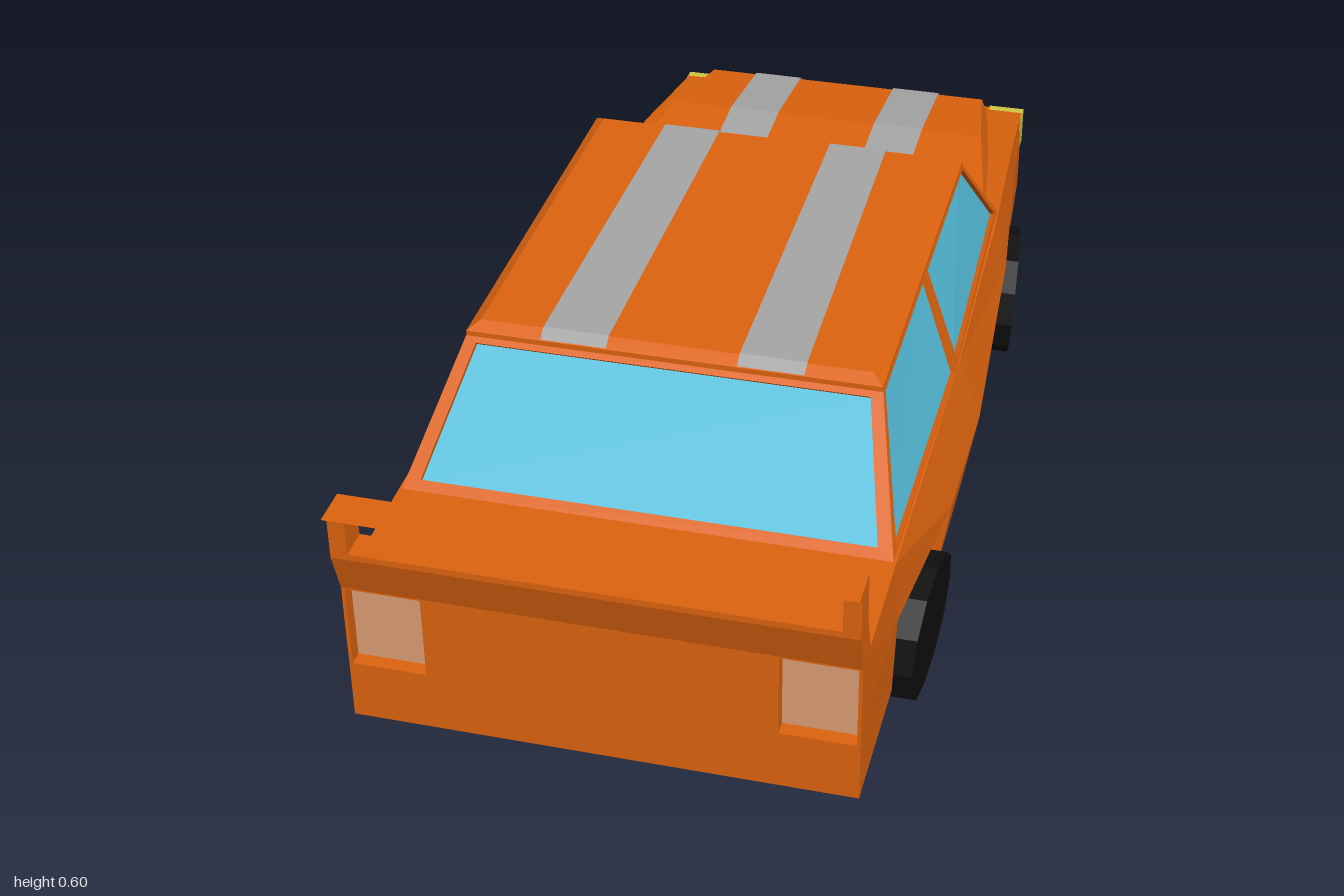
import * as THREE from 'three';

const mat = (name, color) => {
  const m = new THREE.MeshStandardMaterial({ color, flatShading: true, side: THREE.DoubleSide });
  m.name = name;
  return m;
};

// Geometry from a list of quads/fans (corners counter-clockwise from outside)
function polys(list) {
  const pos = [];
  for (const p of list)
    for (let i = 1; i < p.length - 1; i++) pos.push(...p[0], ...p[i], ...p[i + 1]);
  const g = new THREE.BufferGeometry();
  g.setAttribute('position', new THREE.Float32BufferAttribute(pos, 3));
  g.computeVertexNormals();
  return g;
}

// Skin closed rings and cap both ends
function loft(rings) {
  const faces = [[...rings[0]].reverse(), rings[rings.length - 1]];
  for (let r = 0; r < rings.length - 1; r++) {
    const a = rings[r], b = rings[r + 1], n = a.length;
    for (let i = 0; i < n; i++) faces.push([a[i], a[(i + 1) % n], b[(i + 1) % n], b[i]]);
  }
  return polys(faces);
}

// Symmetric ring at one z from its +x half, bottom to top
const ring = (z, half) => [
  ...half.map(([x, y]) => [x, y, z]),
  ...[...half].reverse().map(([x, y]) => [-x, y, z]),
];
// Prism of a (z, y) profile between two x positions
const prism = (profile, x0, x1) => loft([x0, x1].map((x) => profile.map(([z, y]) => [x, y, z])));

// Framed window: returns frame faces and the recessed glass face
function windowPanel([bl, br, tr, tl], [u0, u1, v0, v1], depth = 0.008) {
  const V = (p) => new THREE.Vector3(...p);
  const at = (u, v) => V(bl).lerp(V(br), u).lerp(V(tl).lerp(V(tr), u), v);
  const inner = [at(u0, v0), at(u1, v0), at(u1, v1), at(u0, v1)];
  const n = V(br).sub(V(bl)).cross(V(tl).sub(V(bl))).normalize();
  const glass = inner.map((p) => p.clone().addScaledVector(n, -depth).toArray());
  const edge = inner.map((p) => p.toArray());
  const outer = [bl, br, tr, tl], frame = [];
  for (let i = 0; i < 4; i++) {
    const j = (i + 1) % 4;
    frame.push([outer[i], outer[j], edge[j], edge[i]], [edge[i], edge[j], glass[j], glass[i]]);
  }
  return { frame, glass };
}

export function createModel() {
  const car = new THREE.Group();
  car.name = 'car';
  const paint = mat('orange paint', 0xdd630f);
  const grey = mat('stripe grey', 0xa6a6a6);
  const glassMat = mat('window blue', 0x55bedb);
  const black = mat('tyre black', 0x0f0f0f);
  const yellow = mat('headlight yellow', 0xcfc640);
  const tan = mat('tail light tan', 0xdc9e76);
  const add = (name, geo, m) => {
    const mesh = new THREE.Mesh(geo, m);
    mesh.name = name;
    car.add(mesh);
    return mesh;
  };

  // Lower body: z, bottom, recess, belt and shoulder half widths, shoulder height
  const sections = [
    [-1, 0.365, 0.365, 0.365, 0.365, 0.305],
    [-0.72, 0.385, 0.39, 0.39, 0.38, 0.345],
    [-0.72, 0.36, 0.36, 0.39, 0.38, 0.345],
    [-0.42, 0.37, 0.37, 0.422, 0.40, 0.377],
    [-0.42, 0.40, 0.422, 0.422, 0.40, 0.377],
    [0.1, 0.43, 0.455, 0.455, 0.415, 0.388],
    [0.37, 0.43, 0.452, 0.452, 0.415, 0.388],
    [0.37, 0.39, 0.39, 0.452, 0.415, 0.388],
    [0.695, 0.39, 0.39, 0.42, 0.414, 0.387],
    [0.695, 0.415, 0.42, 0.42, 0.414, 0.387],
    [0.925, 0.414, 0.414, 0.414, 0.414, 0.386],
  ];
  add('body', loft(sections.map(([z, b, r, m, s, y]) =>
    ring(z, [[b, 0.125], [r, 0.27], [m, 0.272], [s, y]]))), paint);

  // Raised bonnet
  add('bonnet', loft([
    [-1, 0.29, 0.28, 0.29, 0.312],
    [-0.91, 0.31, 0.29, 0.30, 0.368],
    [-0.7, 0.345, 0.32, 0.33, 0.395],
    [-0.44, 0.385, 0.37, 0.36, 0.378],
  ].map(([z, w, t, y0, y1]) => ring(z, [[w, y0], [t, y1]]))), paint);

  // Rear panel with tail light openings
  const rear = new THREE.Shape([[-0.414, 0.125], [0.414, 0.125], [0.414, 0.386], [-0.414, 0.386]]
    .map((p) => new THREE.Vector2(...p)));
  for (const s of [-1, 1])
    rear.holes.push(new THREE.Path([[0.285, 0.232], [0.408, 0.232], [0.408, 0.382], [0.285, 0.382]]
      .map(([x, y]) => new THREE.Vector2(s * x, y))));
  add('rearPanel', new THREE.ExtrudeGeometry(rear, { depth: 0.03, bevelEnabled: false }), paint)
    .position.z = 0.925;

  // Tail lights, headlights
  for (const s of [-1, 1]) {
    add('tailLight', new THREE.BoxGeometry(0.123, 0.15, 0.005), tan).position.set(s * 0.3465, 0.307, 0.928);
    add('tailLightHood', prism([[0.955, 0.383], [0.926, 0.358], [0.926, 0.383]],
      s * 0.3465 - 0.0615, s * 0.3465 + 0.0615), paint);
    add('headlight', new THREE.BoxGeometry(0.072, 0.075, 0.08), yellow).position.set(s * 0.332, 0.27, -0.961);
  }

  // Cabin: corners listed from outside, bottom left first
  const sides = [
    [[[0.41, 0.385, 0.695], [0.415, 0.385, 0.13], [0.35, 0.58, 0.13], [0.35, 0.58, 0.505]], [0.045, 0.972, 0.03, 0.965]],
    [[[0.415, 0.385, 0.13], [0.395, 0.375, -0.445], [0.35, 0.58, -0.25], [0.35, 0.58, 0.13]], [0.03, 0.97, 0.06, 0.965]],
  ];
  const panels = [
    ['rearWindow', [[-0.41, 0.385, 0.695], [0.41, 0.385, 0.695], [0.35, 0.58, 0.505], [-0.35, 0.58, 0.505]], [0.03, 0.97, 0.08, 0.95]],
    ['windscreen', [[0.395, 0.375, -0.445], [-0.395, 0.375, -0.445], [-0.35, 0.58, -0.25], [0.35, 0.58, -0.25]], [0.03, 0.97, 0.08, 0.95]],
  ];
  for (const [c, m] of sides) {
    const f = c.map(([x, y, z]) => [-x, y, z]);
    panels.push(['sideWindow', c, m],
      ['sideWindow', [f[1], f[0], f[3], f[2]], [1 - m[1], 1 - m[0], m[2], m[3]]]);
  }
  const frames = [];
  for (const [name, corners, margins] of panels) {
    const { frame, glass } = windowPanel(corners, margins);
    frames.push(...frame);
    add(name, polys([glass]), glassMat);
  }
  add('cabinFrame', polys(frames), paint);

  // Roof slab with chamfered rim
  add('roof', loft([[0.576, 0.35, -0.252, 0.507], [0.587, 0.35, -0.252, 0.507], [0.6, 0.33, -0.23, 0.487]]
    .map(([y, x, z0, z1]) => [[x, y, z1], [x, y, z0], [-x, y, z0], [-x, y, z1]])), paint);

  // Racing stripes: z, y, inner x, outer x
  const ribbon = (pts, s) => polys(pts.slice(1).map(([z, y, a, b], i) => {
    const [z0, y0, a0, b0] = pts[i];
    const q = [[s * a0, y0, z0], [s * a, y, z], [s * b, y, z], [s * b0, y0, z0]];
    return s > 0 ? q : q.reverse();
  }));
  for (const s of [-1, 1]) {
    add('bonnetStripe', ribbon([[-1.002, 0.126, 0.1, 0.195], [-1.002, 0.314, 0.1, 0.195],
      [-0.911, 0.371, 0.1, 0.197], [-0.7, 0.398, 0.1, 0.2], [-0.46, 0.3825, 0.1, 0.2]], s), grey);
    add('roofStripe', ribbon([[-0.252, 0.59, 0.105, 0.21], [-0.231, 0.6025, 0.105, 0.21],
      [0.488, 0.6025, 0.11, 0.222], [0.508, 0.59, 0.11, 0.222]], s), grey);
  }

  // Rear spoiler: base, posts and wing
  add('spoilerBase', prism([[0.955, 0.385], [0.9, 0.385], [0.925, 0.455], [0.927, 0.473], [0.98, 0.473], [0.98, 0.462]], -0.414, 0.414), paint);
  for (const s of [-1, 1])
    add('spoilerPost', prism([[0.98, 0.47], [0.927, 0.47], [0.93, 0.538], [0.98, 0.538]],
      s * 0.4 - 0.014, s * 0.4 + 0.014), paint);
  add('spoilerWing', prism([[0.98, 0.536], [0.93, 0.536], [0.932, 0.549], [1, 0.549]], -0.414, 0.414), paint);

  // Wheels, slightly toed and cambered
  for (const [name, z, x, toe] of [['frontWheel', -0.57, 0.36, 0.12], ['rearWheel', 0.52, 0.386, -0.06]])
    for (const s of [-1, 1]) {
      const g = new THREE.CylinderGeometry(0.137, 0.137, 0.126, 12).rotateZ(Math.PI / 2).scale(1, 0.91, 1);
      const p = g.attributes.position;
      for (let i = 0; i < p.count; i++)
        p.setX(i, p.getX(i) + s * (toe * p.getZ(i) + 0.05 * p.getY(i)));
      g.computeVertexNormals();
      add(name, g, black).position.set(s * x, 0.125, z);
    }
  return car;
}
